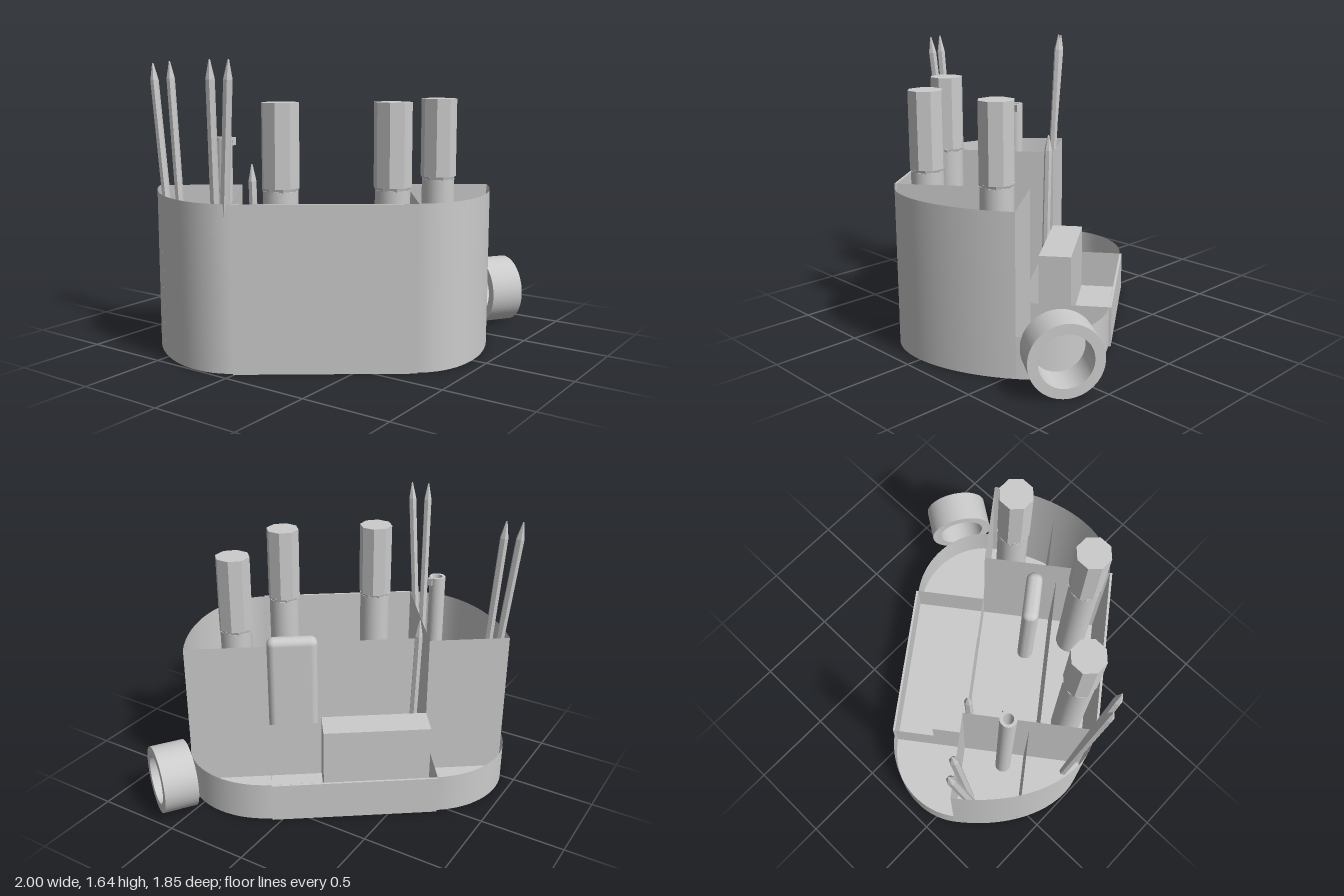
import * as THREE from 'three';
import { RoundedBoxGeometry } from 'three/addons/geometries/RoundedBoxGeometry.js';

const smooth = new THREE.MeshStandardMaterial({ color: 0xcccccc, side: THREE.DoubleSide });
const flat = new THREE.MeshStandardMaterial({ color: 0xcccccc, side: THREE.DoubleSide, flatShading: true });

// Tray plan, in its own axes: x across, z along
const HALF = 0.6, LEN = 0.485, CUT = 0.155, BULGE = 0.485;
const TALL = 0.905, LOW = 0.235, MID_DIV = -0.295, END_DIV = -0.235;

function add(parent, name, geometry, material = flat, x = 0, y = 0, z = 0) {
  const mesh = new THREE.Mesh(geometry, material);
  mesh.name = name;
  mesh.position.set(x, y, z);
  parent.add(mesh);
  return mesh;
}

// Vertical sheet standing on a polyline of [x, z] points
function sheet(points, height) {
  const pos = [], index = [];
  points.forEach(([x, z], i) => {
    pos.push(x, 0, z, x, height, z);
    if (i) {
      const b = 2 * i;
      index.push(b - 2, b, b - 1, b, b + 1, b - 1);
    }
  });
  const g = new THREE.BufferGeometry();
  g.setAttribute('position', new THREE.Float32BufferAttribute(pos, 3));
  g.setIndex(index);
  g.computeVertexNormals();
  return g;
}

// One side of the outline: quarter ellipse, straight side, quarter ellipse
function outline(side) {
  const r = side * HALF - CUT, n = 20, back = [], front = [];
  for (let i = 0; i <= n; i++) {
    const a = (i / n) * Math.PI / 2;
    const x = CUT + r * Math.sin(a), z = LEN + BULGE * Math.cos(a);
    back.push([x, -z]);
    front.unshift([x, z]);
  }
  return back.concat(front);
}

// Depth of the rounded end at a given x on the tall side
function endAt(x) {
  const s = (x - CUT) / (HALF + CUT);
  return LEN + BULGE * Math.sqrt(1 - s * s);
}

function makeTray() {
  const tray = new THREE.Group();
  tray.name = 'tray';
  const tall = outline(-1), low = outline(1);
  add(tray, 'tallOuterWall', sheet(tall, TALL), smooth);
  add(tray, 'lowOuterWall', sheet(low, LOW), smooth);

  const plan = new THREE.Shape(tall.concat(low.slice().reverse()).map(([x, z]) => new THREE.Vector2(x, -z)));
  add(tray, 'floor', new THREE.ShapeGeometry(plan).rotateX(-Math.PI / 2));

  // Dividers at both ends
  for (const s of [-1, 1]) {
    add(tray, 'tallCrossWall', sheet([[-HALF, s * LEN], [CUT, s * LEN]], TALL));
    add(tray, 'lowCrossWall', sheet([[CUT, s * LEN], [HALF, s * LEN]], LOW));
    add(tray, 'endSideWall', sheet([[CUT, s * LEN], [CUT, s * (LEN + BULGE)]], TALL));
    add(tray, 'endDivider', sheet([[END_DIV, s * LEN], [END_DIV, s * endAt(END_DIV)]], 0.705));
  }
  // Dividers of the middle bay
  add(tray, 'middleDivider', sheet([[MID_DIV, -LEN], [MID_DIV, LEN]], 0.705));
  add(tray, 'middleSideWall', sheet([[CUT, -LEN], [CUT, LEN]], 0.37));

  // Raised step on the low side
  add(tray, 'step', new THREE.BoxGeometry(0.195, 0.41, 0.65), flat, CUT + 0.0985, 0.206, -LEN + 0.326);

  // Thin plates on the long sides
  for (const [x, h] of [[-HALF - 0.008, TALL], [HALF + 0.008, LOW]]) {
    add(tray, 'sidePlate', new THREE.BoxGeometry(0.014, h, 2 * LEN), flat, x, h / 2, 0);
  }

  // Eraser standing in the middle bay
  add(tray, 'eraser', new RoundedBoxGeometry(0.1, 0.79, 0.32, 4, 0.045), smooth, -0.16, 0.415, 0.325);
  return tray;
}

// Marker standing on its tip, with an eight-sided barrel
function makeMarker(x, z) {
  const marker = new THREE.Group();
  marker.name = 'marker';
  marker.position.set(x, 0, z);
  add(marker, 'markerCap', new THREE.CylinderGeometry(0.094, 0.094, 0.95, 20), smooth, 0, 0.485, 0);
  add(marker, 'markerCollar', new THREE.CylinderGeometry(0.1, 0.094, 0.02, 8), flat, 0, 0.965, 0);
  add(marker, 'markerBarrel', new THREE.CylinderGeometry(0.102, 0.102, 0.445, 8).rotateY(Math.PI / 8),
    flat, 0, 1.1975, 0);
  return marker;
}

// Six-sided pencil from its foot to its tip
function makePencil(foot, tip) {
  const a = new THREE.Vector3(...foot), b = new THREE.Vector3(...tip);
  const length = a.distanceTo(b), cone = 0.1, r = 0.025;
  const pencil = new THREE.Group();
  pencil.name = 'pencil';
  pencil.position.copy(a);
  pencil.quaternion.setFromUnitVectors(new THREE.Vector3(0, 1, 0), b.sub(a).normalize());
  add(pencil, 'pencilBody', new THREE.CylinderGeometry(r, r, length - cone, 6), flat, 0, (length - cone) / 2, 0);
  add(pencil, 'pencilTip', new THREE.CylinderGeometry(0.004, r, cone, 6), flat, 0, length - cone / 2, 0);
  return pencil;
}

// Ring with a through hole, lying on its side
function makeRing(outer, inner, depth) {
  const shape = new THREE.Shape().absarc(0, 0, outer, 0, Math.PI * 2);
  shape.holes.push(new THREE.Path().absarc(0, 0, inner, 0, Math.PI * 2, true));
  return new THREE.ExtrudeGeometry(shape, { depth, bevelEnabled: false, curveSegments: 40 })
    .translate(0, 0, -depth / 2);
}

export function createModel() {
  const model = new THREE.Group();
  model.name = 'deskOrganizer';

  const tray = makeTray();
  tray.position.set(-0.155, 0, 0.021);
  tray.rotation.y = 0.634;
  model.add(tray);

  for (const [x, z] of [[-0.68, 0.12], [-0.31, 0.58], [0.24, 0.55]]) model.add(makeMarker(x, z));

  const pencils = [
    [[-0.63, 0.01, -0.69], [-0.63, 1.62, -0.86]],
    [[-0.575, 0.01, -0.67], [-0.575, 1.63, -0.78]],
    [[-0.89, 0.01, -0.13], [-0.955, 1.64, 0.015]],
    [[-0.89, 0.01, -0.13], [-0.985, 1.64, -0.085]],
    [[-0.3, 0.01, -0.37], [-0.3, 1.03, -0.4]],
  ];
  for (const [foot, tip] of pencils) model.add(makePencil(foot, tip));

  // Hollow pen with a small clip
  const pen = new THREE.Group();
  pen.name = 'hollowPen';
  pen.position.set(-0.575, 0, -0.37);
  add(pen, 'penTube', makeRing(0.048, 0.03, 1.2).rotateX(-Math.PI / 2), smooth, 0, 0.61, 0);
  add(pen, 'penClip', new THREE.BoxGeometry(0.03, 0.045, 0.03), flat, 0.042, 1.185, 0.025);
  model.add(pen);

  // Tape roll beside the tray
  const roll = add(model, 'tapeRoll', makeRing(0.2, 0.145, 0.2), smooth, 0.805, 0.203, 0.636);
  roll.rotation.y = Math.atan2(0.827, 0.56);
  return model;
}
